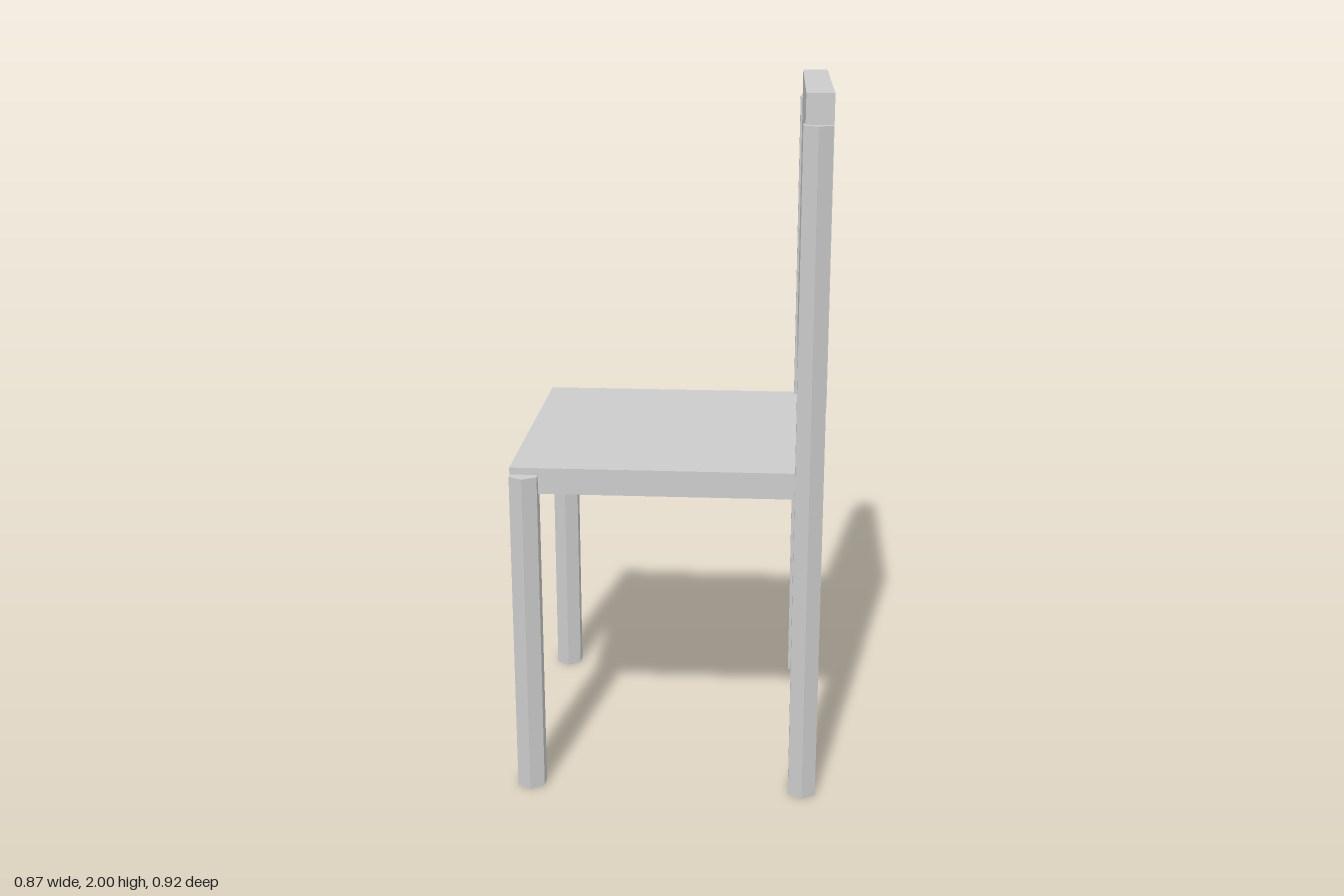
import * as THREE from 'three';

export function createModel() {
  const chair = new THREE.Group();
  chair.name = 'chair';
  const material = new THREE.MeshStandardMaterial({ color: 0xcccccc, flatShading: true });

  const add = (name, geometry, x, y, z) => {
    const mesh = new THREE.Mesh(geometry, material);
    mesh.name = name;
    mesh.position.set(x, y, z);
    chair.add(mesh);
  };

  // box given by its x and y ranges, centred on z
  const slab = (name, x0, x1, y0, y1, depth) =>
    add(name, new THREE.BoxGeometry(x1 - x0, y1 - y0, depth), (x0 + x1) / 2, (y0 + y1) / 2, 0);

  slab('seat', -0.436, 0.395, 0.9, 0.975, 0.834);
  slab('backrest', 0.361, 0.435, 1.165, 2, 0.836);

  // hexagonal legs: short pair at the open end, tall pair carrying the backrest
  const leg = (name, x, height, z) =>
    add(name, new THREE.CylinderGeometry(0.045, 0.045, height, 6), x, height / 2, z);

  for (const side of [-1, 1]) {
    leg('shortLeg', -0.396, 0.955, side * 0.415);
    leg('tallLeg', 0.394, 1.92, side * 0.415);
  }
  return chair;
}
